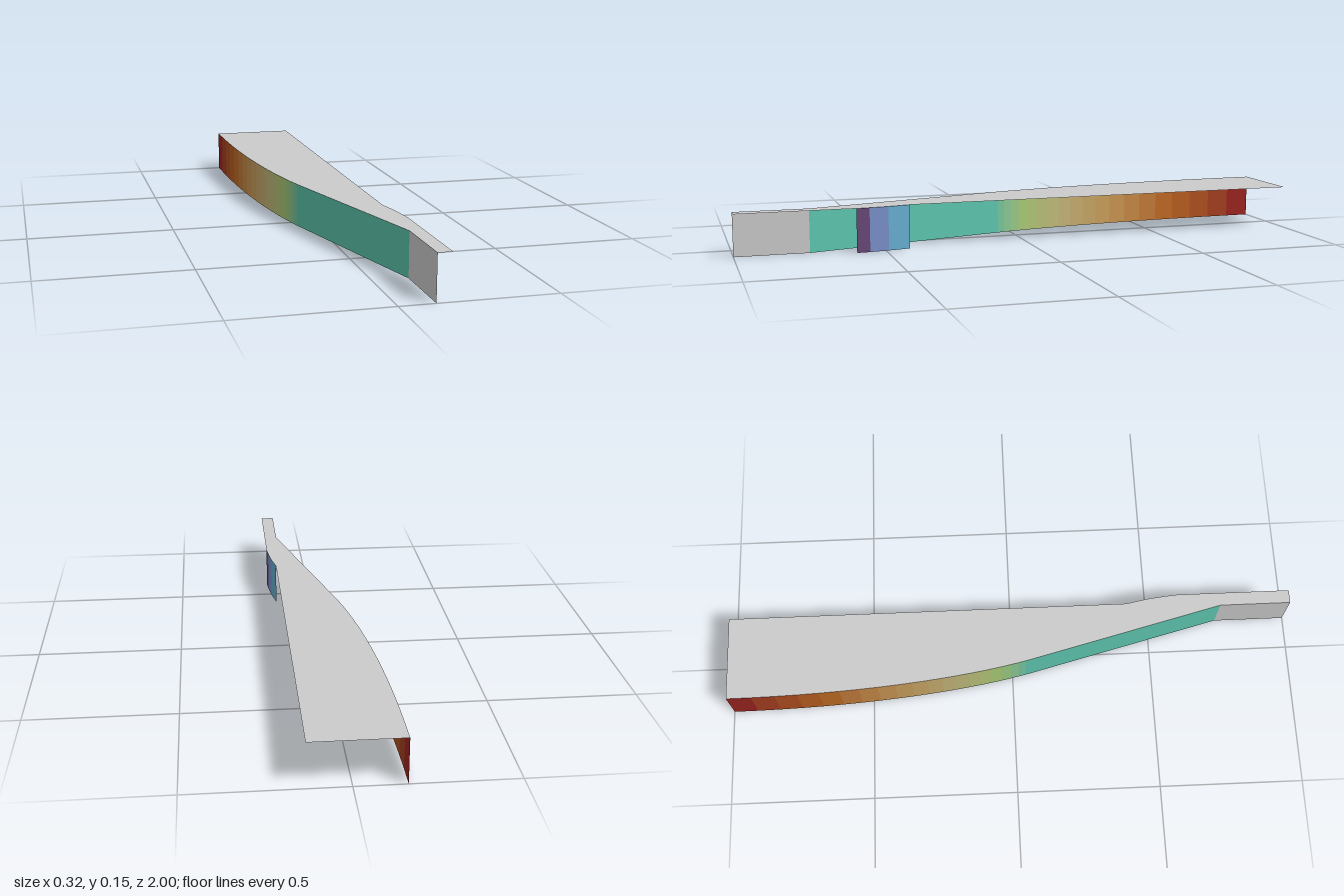
import * as THREE from 'three';

const HEIGHT = 0.15;

// Open vertical panel between two plan points [x, z]
function panel(name, a, b, color) {
  const geo = new THREE.BufferGeometry();
  geo.setAttribute('position', new THREE.Float32BufferAttribute([
    a[0], 0, a[1], b[0], 0, b[1], b[0], HEIGHT, b[1], a[0], HEIGHT, a[1],
  ], 3));
  geo.setIndex([0, 1, 2, 0, 2, 3]);
  geo.computeVertexNormals();
  const mesh = new THREE.Mesh(geo, new THREE.MeshStandardMaterial({ color, side: THREE.DoubleSide }));
  mesh.name = name;
  return mesh;
}

// Colour along a list of evenly spaced stops, t in 0..1
function gradient(stops, t) {
  const f = t * (stops.length - 1);
  const i = Math.min(Math.floor(f), stops.length - 2);
  return new THREE.Color(stops[i]).lerp(new THREE.Color(stops[i + 1]), f - i);
}

export function createModel() {
  const model = new THREE.Group();
  model.name = 'taperedChannel';

  // Plan curve of the long side wall, from the straight slope to the wide back end
  const curve = new THREE.CubicBezierCurve(
    new THREE.Vector2(-0.06, 0.07), new THREE.Vector2(-0.096, -0.07),
    new THREE.Vector2(-0.162, -0.42), new THREE.Vector2(-0.162, -1));
  const bend = curve.getPoints(20).map((p) => [p.x, p.y]);
  const neck = [0.115, 0.75];
  const tip = [0.115, 1];
  const flare = [[0.162, 0.6], [0.158, 0.555], [0.15, 0.49], [0.135, 0.415]];

  // Top sheet
  const outline = [tip, neck, ...bend, [0.135, -1], ...flare.slice().reverse(), [0.162, 1]];
  const shape = new THREE.Shape(outline.map(([x, z]) => new THREE.Vector2(x, -z)));
  const sheet = new THREE.Mesh(
    new THREE.ShapeGeometry(shape).rotateX(-Math.PI / 2).translate(0, HEIGHT, 0),
    new THREE.MeshStandardMaterial({ color: 0xcccccc, side: THREE.DoubleSide }));
  sheet.name = 'topSheet';
  model.add(sheet);

  // Long side wall: straight end, slope, then the coloured bend
  const longWall = new THREE.Group();
  longWall.name = 'longWall';
  longWall.add(panel('endPanel', tip, neck, 0xcccccc));
  longWall.add(panel('slopePanel', neck, bend[0], 0x5cc4ac));
  const stops = [0x5cc4ac, 0xa8cc74, 0xc4b87c, 0xcc9c58, 0xc06820, 0x9c2420];
  for (let i = 0; i < bend.length - 1; i++) {
    longWall.add(panel('bendPanel' + (i + 1), bend[i], bend[i + 1], gradient(stops, i / (bend.length - 2))));
  }
  model.add(longWall);

  // Short flared wall on the opposite side
  const shortWall = new THREE.Group();
  shortWall.name = 'shortWall';
  [0x684878, 0x7890c8, 0x66aed0].forEach((color, i) => {
    shortWall.add(panel('flarePanel' + (i + 1), flare[i], flare[i + 1], color));
  });
  model.add(shortWall);

  return model;
}
